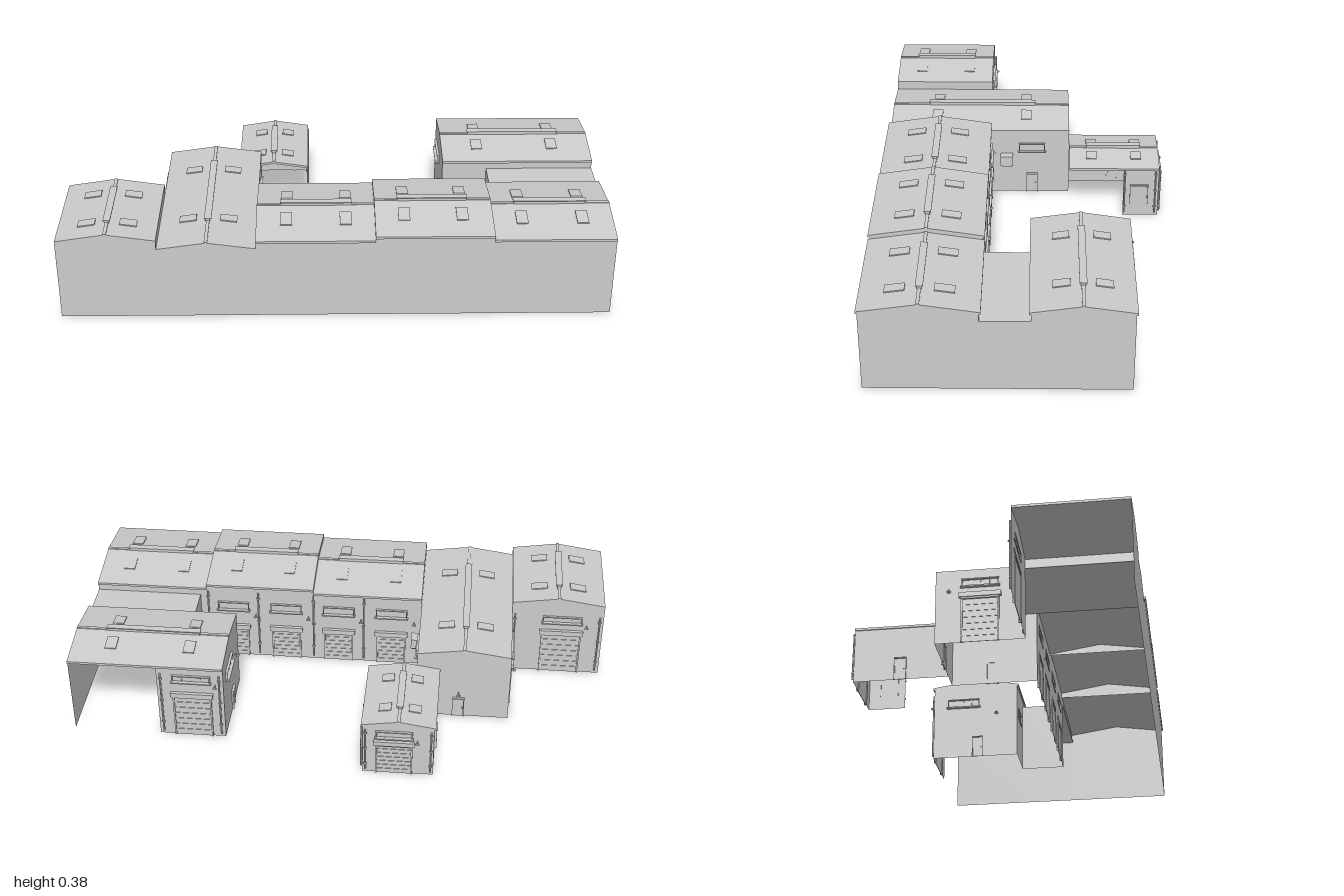
import * as THREE from 'three';

const mat = new THREE.MeshStandardMaterial({ color: 0xcccccc, flatShading: true, side: THREE.DoubleSide });

function add(parent, name, geo, x = 0, y = 0, z = 0) {
  const m = new THREE.Mesh(geo, mat);
  m.name = name;
  m.position.set(x, y, z);
  parent.add(m);
  return m;
}
const box = (parent, name, w, h, d, x, y, z) => add(parent, name, new THREE.BoxGeometry(w, h, d), x, y, z);

// Vertical sheet from a to b (both [x, z]) with an outline given as [distance, height]
function panel(parent, name, a, b, outline) {
  const shape = new THREE.Shape(outline.map(p => new THREE.Vector2(p[0], p[1])));
  const m = add(parent, name, new THREE.ShapeGeometry(shape), a[0], 0, a[1]);
  m.rotation.y = Math.atan2(a[1] - b[1], b[0] - a[0]);
}
const span = (a, b) => Math.hypot(b[0] - a[0], b[1] - a[1]);
function wall(parent, name, a, b, top, bottom = 0) {
  const l = span(a, b);
  panel(parent, name, a, b, [[0, bottom], [l, bottom], [l, top], [0, top]]);
}
function gable(parent, name, a, b, eave, ridge, bottom = 0) {
  const l = span(a, b);
  panel(parent, name, a, b, [[0, bottom], [l, bottom], [l, eave], [l / 2, ridge], [0, eave]]);
}

// Pitched roof slab, ridge vent and skylights; the ridge runs along local z
function roof(parent, name, s) {
  const { x0, x1, z0, z1, eave, ridge, axis, vent, hang = 0.006 } = s;
  const g = new THREE.Group();
  g.name = name;
  const alongX = axis === 'x';
  const cx = (x0 + x1) / 2, cz = (z0 + z1) / 2;
  g.position.set(cx, 0, cz);
  if (alongX) g.rotation.y = Math.PI / 2;
  const half = (alongX ? z1 - z0 : x1 - x0) / 2, len = alongX ? x1 - x0 : z1 - z0;
  const w = half + hang, t = 0.009;
  const prof = [[-w, eave - t], [-w, eave], [0, ridge], [w, eave], [w, eave - t], [0, ridge - t]];
  const geo = new THREE.ExtrudeGeometry(new THREE.Shape(prof.map(p => new THREE.Vector2(...p))),
    { depth: len, bevelEnabled: false });
  add(g, 'roofSlab', geo, 0, 0, -len / 2);
  box(g, 'ridgeCap', 0.012, 0.005, len, 0, ridge, 0);
  const mid = alongX ? cx : cz, vl = vent[1] - vent[0], vz = (vent[0] + vent[1]) / 2 - mid;
  box(g, 'ridgeVent', 0.016, 0.012, vl, 0, ridge + 0.004, vz);
  box(g, 'ridgeVentCap', 0.026, 0.004, vl + 0.006, 0, ridge + 0.012, vz);
  // two skylights on each slope
  const slope = Math.atan2(ridge - eave, w);
  for (const side of [-1, 1]) for (const end of [-1, 1]) {
    const x = side * half * 0.42;
    const m = box(g, 'skylight', 0.07 * half / 0.2, 0.004, 0.042, x,
      ridge - Math.abs(x) * (ridge - eave) / w + 0.002, vz + end * Math.min(vl * 0.42, len * 0.29));
    m.rotation.z = -side * slope;
  }
  parent.add(g);
}

// Fittings are placed in a group whose local +z points out of the wall
const FACE = { back: Math.PI, left: Math.PI / 2, right: -Math.PI / 2 };
function fitting(parent, name, face, x, z, build) {
  const g = new THREE.Group();
  g.name = name;
  g.position.set(x, 0, z);
  g.rotation.y = FACE[face];
  build(g);
  parent.add(g);
}
function frame(g, w, h, y, t = 0.006) {
  for (const s of [-1, 1]) box(g, 'jamb', t, h, 0.01, s * w / 2, y + h / 2, 0.002);
  box(g, 'lintel', w + t, t, 0.012, 0, y + h, 0.003);
}
function rollerDoor(g, w, h) {
  frame(g, w, h, 0);
  box(g, 'shutter', w, h, 0.002, 0, h / 2, 0.001);
  for (let i = 1; i < 7; i++) box(g, 'slat', w, 0.003, 0.004, 0, h * i / 7, 0.002);
  box(g, 'shutterHousing', w + 0.02, 0.018, 0.014, 0, h + 0.012, 0.006);
}
function smallDoor(g) {
  frame(g, 0.042, 0.085, 0, 0.004);
  box(g, 'doorLeaf', 0.042, 0.085, 0.003, 0, 0.0425, 0.001);
  box(g, 'handle', 0.004, 0.006, 0.008, 0.015, 0.042, 0.003);
}
function windowStrip(g, w, h, y) {
  frame(g, w, h, y, 0.004);
  box(g, 'sill', w + 0.012, 0.005, 0.016, 0, y, 0.006);
  for (let i = 1; i < 4; i++) box(g, 'mullion', 0.003, h, 0.005, w * (i / 4 - 0.5), y + h / 2, 0.001);
}
function lamp(g, y) {
  box(g, 'lampArm', 0.004, 0.004, 0.016, 0, y, 0.007);
  const c = add(g, 'lampShade', new THREE.CylinderGeometry(0.003, 0.008, 0.008, 8), 0, y - 0.002, 0.013);
  c.rotation.x = -0.3;
}
function drainpipe(g, h) {
  add(g, 'pipe', new THREE.CylinderGeometry(0.004, 0.004, h - 0.02, 6), 0, h / 2 + 0.005, 0.005);
  for (const k of [0.2, 0.55, 0.9]) box(g, 'pipeBracket', 0.012, 0.004, 0.008, 0, h * k, 0.004);
}

export function createModel() {
  const root = new THREE.Group();
  root.name = 'warehouseYard';

  // Roofs of all halls
  const halls = {
    endHallRoof: { x0: -1, x1: -0.642, z0: 0.14, z1: 0.54, eave: 0.32, ridge: 0.347, axis: 'z', vent: [0.22, 0.46], hang: 0 },
    longHallRoof: { x0: -0.642, x1: -0.288, z0: -0.18, z1: 0.54, eave: 0.285, ridge: 0.31, axis: 'z', vent: [-0.04, 0.39], hang: 0 },
    frontHallRoof1: { x0: -0.288, x1: 0.14, z0: 0.137, z1: 0.54, eave: 0.318, ridge: 0.349, axis: 'x', vent: [-0.2, 0.055] },
    frontHallRoof2: { x0: 0.14, x1: 0.565, z0: 0.137, z1: 0.54, eave: 0.334, ridge: 0.366, axis: 'x', vent: [0.225, 0.475] },
    frontHallRoof3: { x0: 0.565, x1: 1, z0: 0.137, z1: 0.54, eave: 0.318, ridge: 0.349, axis: 'x', vent: [0.65, 0.91] },
    backHallRoof: { x0: 0.42, x1: 1, z0: -0.385, z1: -0.035, eave: 0.318, ridge: 0.345, axis: 'x', vent: [0.53, 0.88] },
    shedRoof: { x0: -0.37, x1: -0.11, z0: -0.535, z1: -0.18, eave: 0.217, ridge: 0.238, axis: 'z', vent: [-0.46, -0.25] },
  };
  for (const [name, s] of Object.entries(halls)) roof(root, name, s);
  box(root, 'linkRoof', 0.41, 0.008, 0.18, 0.795, 0.279, 0.05);

  // Outer front walls
  gable(root, 'endHallFront', [-1, 0.54], [-0.642, 0.54], 0.316, 0.343);
  gable(root, 'longHallFront', [-0.642, 0.54], [-0.288, 0.54], 0.281, 0.306);
  wall(root, 'frontWall1', [-0.288, 0.54], [0.14, 0.54], 0.316);
  wall(root, 'frontWall2', [0.14, 0.54], [0.565, 0.54], 0.332);
  wall(root, 'frontWall3', [0.565, 0.54], [1, 0.54], 0.316);

  // Outer side wall on the left, one plane under two gables and the link
  gable(root, 'sideWallFront', [1, 0.54], [1, 0.137], 0.316, 0.345);
  wall(root, 'sideWallLink', [1, 0.137], [1, -0.035], 0.281);
  gable(root, 'sideWallBack', [1, -0.035], [1, -0.385], 0.316, 0.342);

  // Yard walls
  wall(root, 'frontHallBack1', [-0.288, 0.137], [0.14, 0.137], 0.316);
  wall(root, 'frontHallBack2', [0.14, 0.137], [0.565, 0.137], 0.332);
  wall(root, 'frontHallBack3', [0.565, 0.137], [0.59, 0.137], 0.316);
  wall(root, 'linkYardWall', [0.59, 0.137], [0.59, -0.035], 0.281);
  wall(root, 'backHallYardWall', [0.42, -0.035], [0.59, -0.035], 0.316);
  gable(root, 'backHallEnd', [0.42, -0.385], [0.42, -0.035], 0.316, 0.342);
  wall(root, 'backHallBack', [0.42, -0.385], [0.67, -0.385], 0.316);
  wall(root, 'longHallYardWall', [-0.288, -0.18], [-0.288, 0.137], 0.281);
  gable(root, 'longHallBack', [-0.642, -0.18], [-0.288, -0.18], 0.281, 0.306);
  wall(root, 'longHallSide', [-0.642, -0.18], [-0.642, 0.14], 0.281);
  gable(root, 'endHallBack', [-1, 0.14], [-0.642, 0.14], 0.316, 0.343);
  gable(root, 'shedBack', [-0.37, -0.535], [-0.11, -0.535], 0.213, 0.234);
  wall(root, 'shedSide', [-0.37, -0.535], [-0.37, -0.18], 0.213);
  wall(root, 'shedYardWall', [-0.11, -0.535], [-0.11, -0.395], 0.213);

  // Upper walls where a taller hall rises over its neighbour
  wall(root, 'endHallStep', [-0.642, 0.14], [-0.642, 0.54], 0.318, 0.275);
  gable(root, 'frontHallStep1', [-0.288, 0.137], [-0.288, 0.54], 0.316, 0.347, 0.275);
  for (const x of [0.14, 0.565]) gable(root, 'frontHallStep2', [x, 0.137], [x, 0.54], 0.332, 0.364, 0.305);
  wall(root, 'frontHallStep3', [0.59, 0.137], [1, 0.137], 0.316, 0.275);
  wall(root, 'backHallStep', [0.59, -0.035], [1, -0.035], 0.316, 0.275);

  // Loading bays along the yard side of the front halls
  for (const x of [-0.17, 0.04, 0.25, 0.46]) {
    fitting(root, 'loadingBay', 'back', x, 0.137, g => { rollerDoor(g, 0.11, 0.13); windowStrip(g, 0.12, 0.035, 0.22); });
    fitting(root, 'wallLamp', 'back', x - 0.09, 0.137, g => lamp(g, 0.2));
  }
  for (const x of [-0.06, 0.14, 0.36, 0.56]) fitting(root, 'drainpipe', 'back', x, 0.137, g => drainpipe(g, 0.31));

  // End hall, back hall and shed: roller door, canopy window, lamp and pipes
  const backs = [[-0.84, 0.14, 0.15, 0.18, 0.235, [-0.655, -0.985]], [0.54, -0.385, 0.14, 0.18, 0.25, [0.435, 0.655]],
    [-0.225, -0.535, 0.13, 0.13, 0.165, [-0.36, -0.12]]];
  for (const [x, z, w, h, y, pipes] of backs) {
    fitting(root, 'rollerDoor', 'back', x, z, g => { rollerDoor(g, w, h); windowStrip(g, w, 0.028, y); });
    fitting(root, 'wallLamp', 'back', x - w / 2 - 0.02, z, g => lamp(g, y - 0.01));
    for (const p of pipes) fitting(root, 'drainpipe', 'back', p, z, g => drainpipe(g, y + 0.04));
  }

  // Long hall
  fitting(root, 'sideRollerDoor', 'right', -0.642, -0.02, g => { rollerDoor(g, 0.13, 0.17); windowStrip(g, 0.13, 0.03, 0.215); });
  fitting(root, 'wallLamp', 'right', -0.642, -0.13, g => lamp(g, 0.2));
  fitting(root, 'backDoor', 'back', -0.45, -0.18, g => { smallDoor(g); lamp(g, 0.11); });
  fitting(root, 'yardDoor', 'left', -0.288, -0.03, g => { smallDoor(g); windowStrip(g, 0.1, 0.035, 0.19); });
  fitting(root, 'wallUnit', 'left', -0.288, 0.072, g => {
    box(g, 'unitHousing', 0.05, 0.04, 0.034, 0, 0.16, 0.018);
    box(g, 'unitBracket', 0.04, 0.006, 0.03, 0, 0.137, 0.015);
  });

  // Back hall end and shed sides
  fitting(root, 'endWindow', 'right', 0.42, -0.26, g => windowStrip(g, 0.13, 0.035, 0.22));
  fitting(root, 'endDoor', 'right', 0.42, -0.2, smallDoor);
  fitting(root, 'wallLamp', 'right', 0.42, -0.12, g => lamp(g, 0.19));
  fitting(root, 'yardWindow', 'back', 0.505, -0.035, g => windowStrip(g, 0.09, 0.04, 0.18));
  fitting(root, 'shedDoor', 'right', -0.37, -0.36, smallDoor);
  fitting(root, 'shedWindow', 'left', -0.11, -0.458, g => {
    frame(g, 0.068, 0.085, 0.055, 0.004);
    box(g, 'pane', 0.068, 0.085, 0.002, 0, 0.0975, 0.001);
  });
  for (const z of [-0.4, -0.522]) fitting(root, 'drainpipe', 'left', -0.11, z, g => drainpipe(g, 0.21));

  return root;
}
